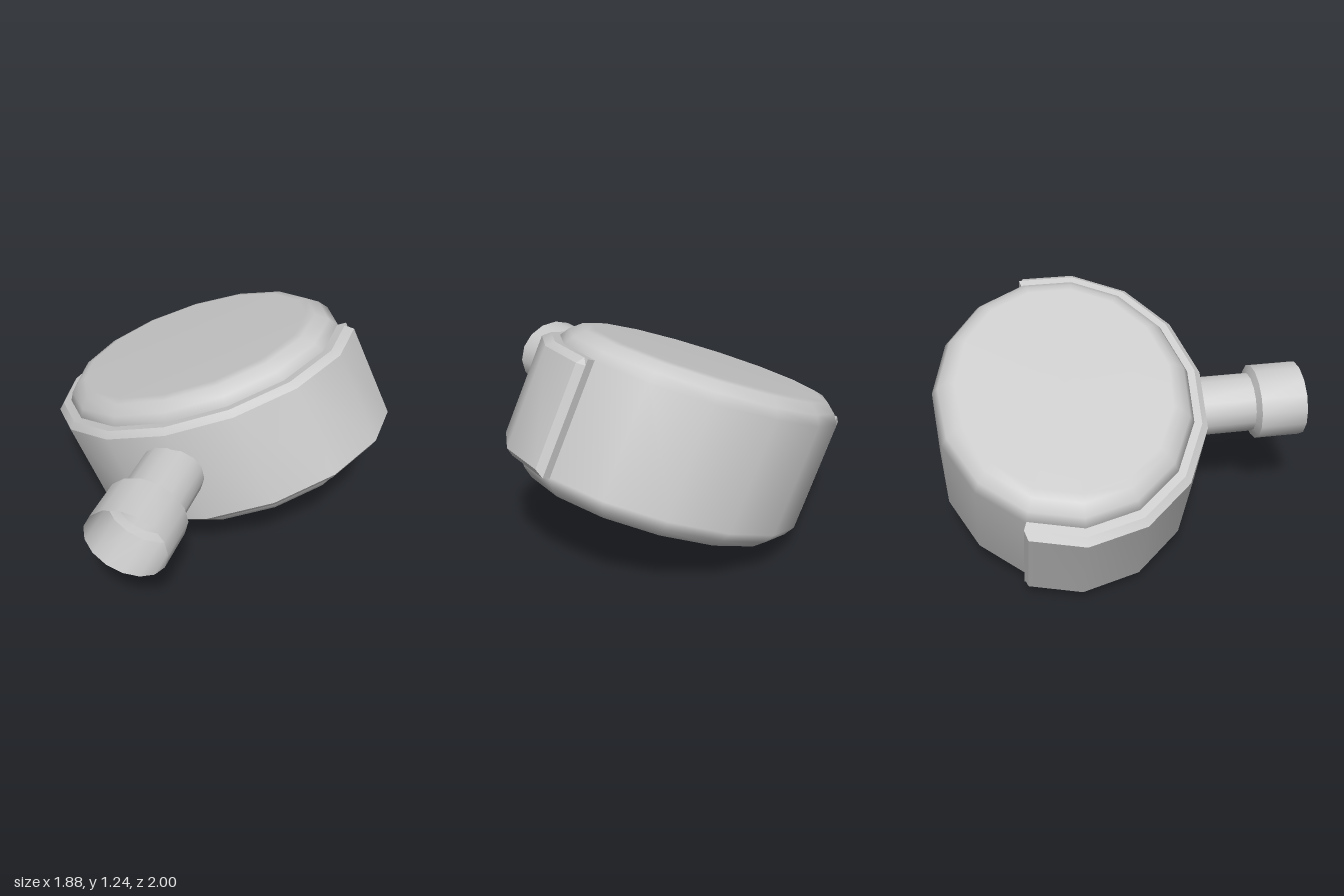
import * as THREE from 'three';
import { toCreasedNormals } from 'three/addons/utils/BufferGeometryUtils.js';

const SIDES = 15;
const STEP = (Math.PI * 2) / SIDES;

// Tilted, slightly skewed frame shared by the drum and its band (unit radius = band radius)
const TILT = new THREE.Matrix4().makeBasis(
  new THREE.Vector3(0.834, 0.339, 0),
  new THREE.Vector3(-0.125, 0.255, 0),
  new THREE.Vector3(0, 0, 0.754)
).setPosition(0.009, 0.622, -0.32);

const pts = (list) => list.map(([r, y]) => new THREE.Vector2(r, y));

// Lofts closed [radius, height] sections along a list of angles, with capped ends
function loftBand(stations) {
  const n = stations[0].section.length;
  const pos = [];
  const idx = [];
  for (const { x, z, section } of stations) {
    for (const [r, y] of section) pos.push(r * x, y, r * z);
  }
  for (let i = 0; i < stations.length - 1; i++) {
    for (let j = 0; j < n; j++) {
      const k = (j + 1) % n;
      const a = i * n + j, b = a + n, c = i * n + k, d = c + n;
      idx.push(a, b, c, b, d, c);
    }
  }
  const last = (stations.length - 1) * n;
  for (let j = 1; j < n - 1; j++) {
    idx.push(0, j, j + 1, last, last + j + 1, last + j);
  }
  const g = new THREE.BufferGeometry();
  g.setAttribute('position', new THREE.Float32BufferAttribute(pos, 3));
  g.setIndex(idx);
  return g;
}

export function createModel() {
  const model = new THREE.Group();
  const grey = new THREE.MeshStandardMaterial({ color: 0xcccccc });
  const greyOpen = new THREE.MeshStandardMaterial({ color: 0xcccccc, side: THREE.DoubleSide });

  const add = (name, geometry, material = grey) => {
    const mesh = new THREE.Mesh(geometry, material);
    mesh.name = name;
    model.add(mesh);
  };

  // Drum with softly rounded rims, same top and bottom
  const rim = [[0.905, 1.03], [0.865, 1.21], [0.80, 1.37], [0.745, 1.41], [0, 1.41]];
  const profile = [...rim.map(([r, y]) => [r, -y]).reverse(), ...rim];
  const drum = new THREE.LatheGeometry(pts(profile), SIDES, -Math.PI / 2);
  add('drum', drum.applyMatrix4(TILT));

  // Bevelled band around the front of the drum
  const full = [[0.88, 1.05], [0.955, 1.05], [1, 0.94], [1, -0.94], [0.955, -1.05], [0.88, -1.05]];
  const end = full.map(([r, y]) => [Math.min(r, 0.955), y]);
  const corner = (k) => {
    const t = (k - 0.5) * STEP;
    return new THREE.Vector2(Math.cos(t), Math.sin(t));
  };
  const station = (p, section) => ({ x: p.x, z: p.y, section });
  const stations = [station(corner(0), end), station(corner(0).lerp(corner(1), 0.1), full)];
  for (let k = 1; k < 9; k++) stations.push(station(corner(k), full));
  stations.push(station(corner(9).lerp(corner(8), 0.1), full), station(corner(9), end));
  const band = loftBand(stations).applyMatrix4(TILT);
  add('frontBand', toCreasedNormals(band, 0.6));

  // Open pipe with a wider collar, pointing forward
  const pipe = new THREE.LatheGeometry(
    pts([[0.175, 0.3], [0.175, 0.725], [0.222, 0.745], [0.222, 1]]), SIDES, Math.PI / 2
  );
  pipe.rotateX(Math.PI / 2).scale(1, 0.905, 1).translate(0.011, 0.665, 0);
  add('pipeWithCollar', toCreasedNormals(pipe, 0.6), greyOpen);

  return model;
}
